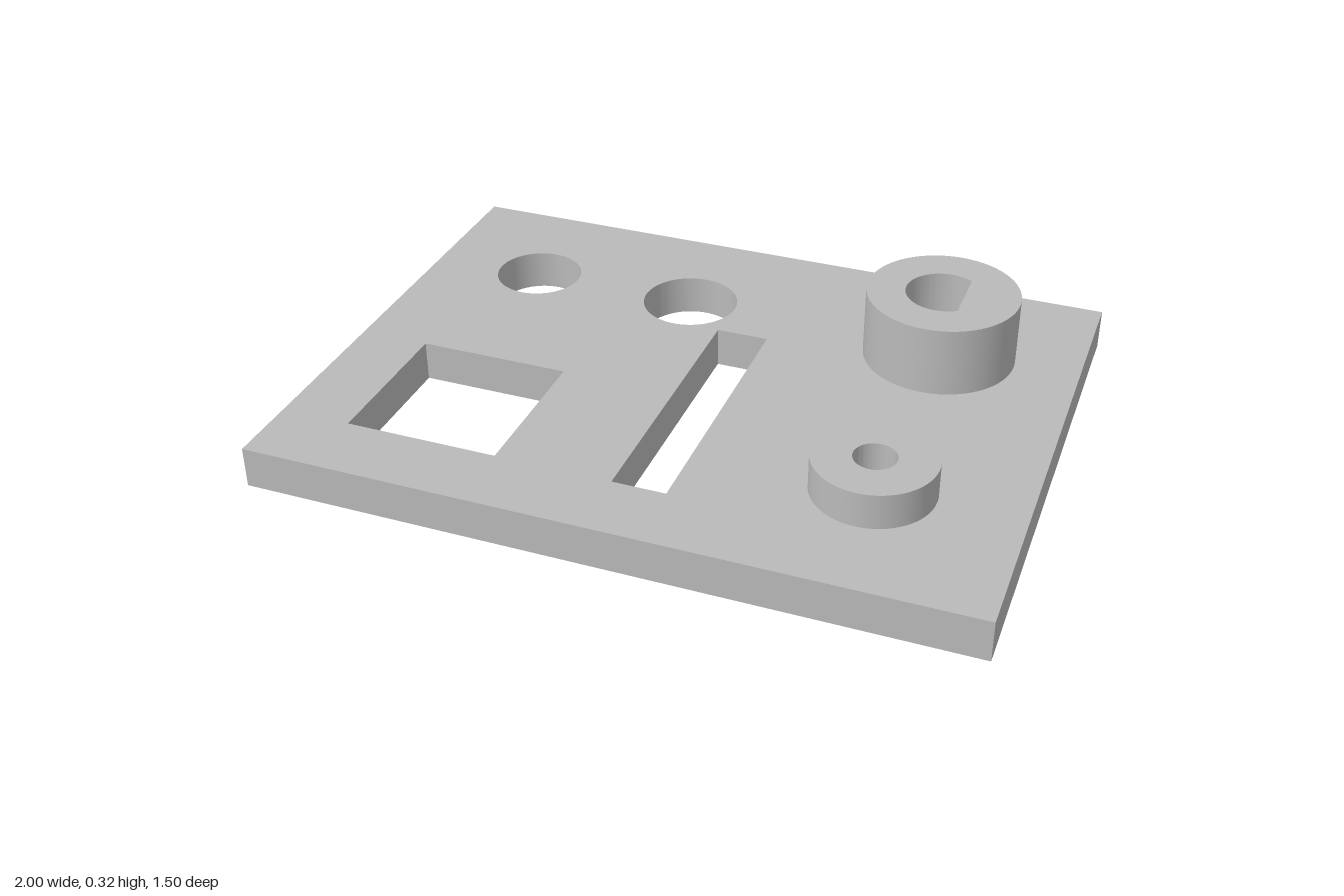
import * as THREE from 'three';
import { toCreasedNormals } from 'three/addons/utils/BufferGeometryUtils.js';

// Outlines are drawn in plan: first coordinate is x, second is z.
const circle = (x, z, r, T = THREE.Path) => new T().absarc(x, z, r, 0, Math.PI * 2, false);

function rect(x0, z0, x1, z1, T = THREE.Path) {
  return new T([[x0, z0], [x1, z0], [x1, z1], [x0, z1], [x0, z0]].map(p => new THREE.Vector2(...p)));
}

function hexagon(x, z, r) {
  const pts = [];
  for (let i = 0; i <= 6; i++) {
    const a = Math.PI / 6 + i * Math.PI / 3;
    pts.push(new THREE.Vector2(x + r * Math.cos(a), z + r * Math.sin(a)));
  }
  return new THREE.Path(pts);
}

// Circle cut by a flat on the +x side
function dHole(x, z, r, flat) {
  const a = Math.acos(flat / r);
  return new THREE.Path().absarc(x, z, r, a, Math.PI * 2 - a, false).closePath();
}

export function createModel() {
  const group = new THREE.Group();
  const grey = new THREE.MeshStandardMaterial({ color: 0xbababa });
  grey.name = 'grey';

  // Upright slab between two heights, with holes
  function slab(name, outline, holes, y0, y1) {
    outline.holes.push(...holes);
    let geo = new THREE.ExtrudeGeometry(outline, { depth: y1 - y0, bevelEnabled: false, curveSegments: 40 });
    geo.rotateX(Math.PI / 2).translate(0, y1, 0);
    geo = toCreasedNormals(geo, 0.5);
    const mesh = new THREE.Mesh(geo, grey);
    mesh.name = name;
    group.add(mesh);
  }

  const top = 0.117;
  const big = [0.6, -0.352], small = [0.6, 0.348];

  // Base plate with its cut-outs; the small boss has a hexagonal nut pocket below
  slab('basePlate', rect(-1, -0.75, 1, 0.75, THREE.Shape), [
    circle(-0.668, -0.388, 0.128),
    circle(-0.17, -0.387, 0.14),
    rect(-0.8, 0.108, -0.365, 0.548),
    rect(-0.035, -0.257, 0.115, 0.548),
    dHole(...big, 0.107, 0.06),
    hexagon(...small, 0.112),
  ], 0, top);

  // Raised bosses
  slab('largeBoss', circle(...big, 0.216, THREE.Shape), [dHole(...big, 0.107, 0.06)], top, 0.318);
  slab('smallBoss', circle(...small, 0.166, THREE.Shape), [circle(...small, 0.058)], top, 0.218);

  return group;
}
